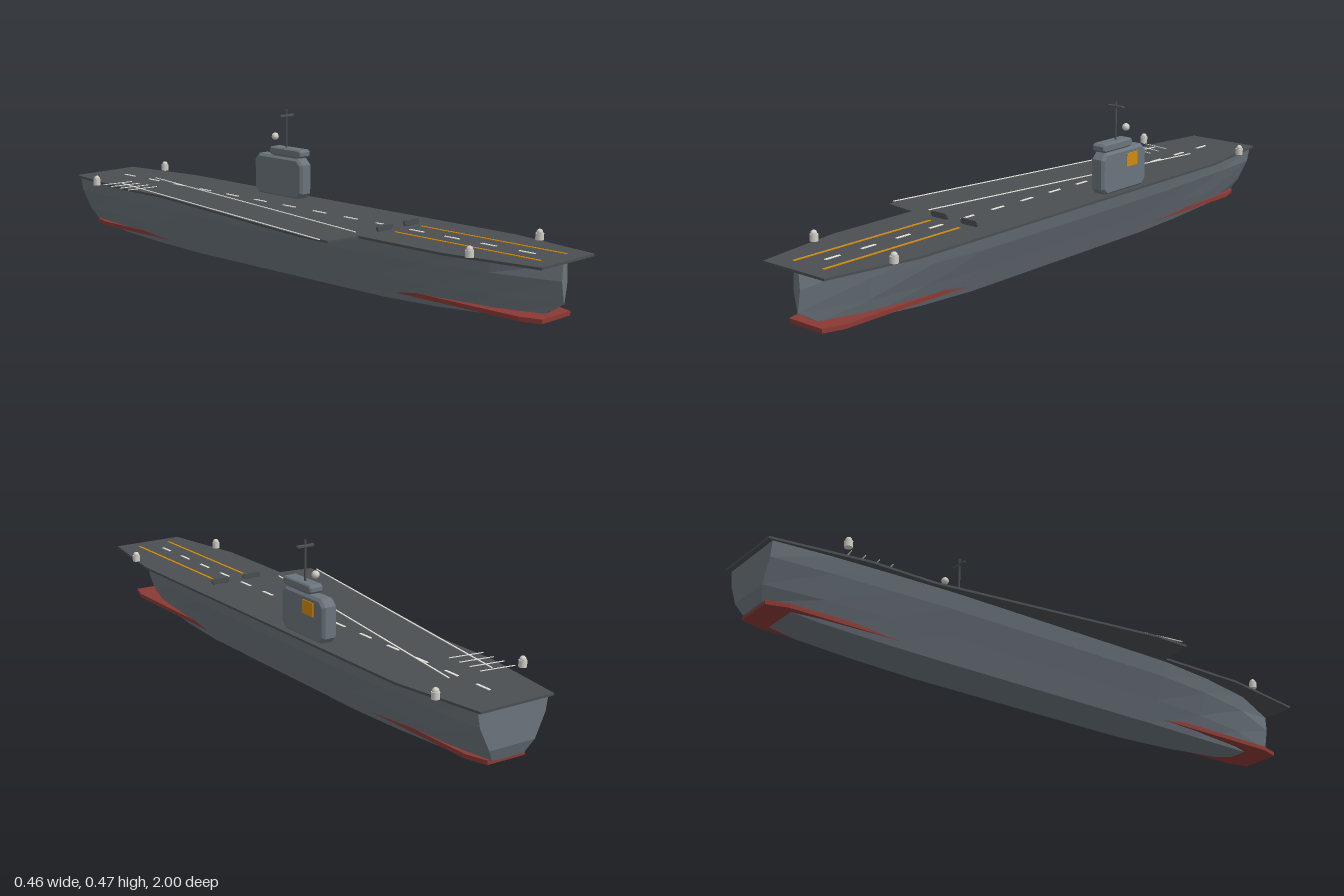
import * as THREE from 'three';

const mat = (name, color, side = THREE.FrontSide) => {
  const m = new THREE.MeshStandardMaterial({ color, side, flatShading: true });
  m.name = name;
  return m;
};

export function createModel() {
  const model = new THREE.Group();
  model.name = 'aircraftCarrier';
  const hullGrey = mat('hullGrey', 0x6b747c);
  const deckGrey = mat('deckGrey', 0x4b4f52);
  const red = mat('waterlineRed', 0x8b3a34);
  const white = mat('markingWhite', 0xe4e4dc);
  const orange = mat('markingOrange', 0xd08a10);
  const domeWhite = mat('domeWhite', 0xd2d0c8);
  domeWhite.flatShading = false;

  const CX = 0.06; // hull centreline
  const DECK = 0.193; // flight deck surface

  const add = (name, geo, material, x = 0, y = 0, z = 0) => {
    const mesh = new THREE.Mesh(geo, material);
    mesh.name = name;
    mesh.position.set(x, y, z);
    model.add(mesh);
    return mesh;
  };

  // Flat outline in x/z, extruded downward from y = 0
  const slab = (points, depth) => {
    const shape = new THREE.Shape(points.map(([x, z]) => new THREE.Vector2(x, z)));
    return new THREE.ExtrudeGeometry(shape, { depth, bevelEnabled: false }).rotateX(Math.PI / 2);
  };

  // Centred block with cut corners and bevelled faces, thickness along z
  const chamferBlock = (w, h, t, cut, bevel) => {
    const a = w / 2, b = h / 2;
    const shape = new THREE.Shape([
      [-a + cut, -b], [a - cut, -b], [a, -b + cut], [a, b - cut],
      [a - cut, b], [-a + cut, b], [-a, b - cut], [-a, -b + cut],
    ].map(([x, y]) => new THREE.Vector2(x, y)));
    return new THREE.ExtrudeGeometry(shape, {
      depth: t - 2 * bevel, bevelSize: bevel, bevelThickness: bevel, bevelOffset: -bevel, bevelSegments: 1,
    }).translate(0, 0, -t / 2 + bevel);
  };

  // Hull: each section lists [half width, y, z] from deck level to keel
  const section = (z, k, keel) => [
    [0.157 * k, 0.187, z], [0.143 * k, 0.14, z], [0.11 * k, 0.07, z], [0.078 * k, keel, z],
  ];
  const sections = [
    [[0.12, 0.187, -0.985], [0.112, 0.14, -0.985], [0.078, 0.07, -0.985], [0.055, 0.032, -0.97]],
    section(-0.8, 0.88, 0.012),
    section(-0.6, 0.95, 0.004),
    section(-0.4, 1, 0),
    section(0.4, 1, 0),
    section(0.6, 0.86, 0.004),
    section(0.8, 0.6, 0.013),
    [[0.01, 0.183, 0.99], [0.013, 0.135, 0.99], [0.001, 0.07, 0.99], [0.013, 0.033, 0.93]],
  ];
  const rings = sections.map((s) => [
    ...s.map(([w, y, z]) => [CX + w, y, z]),
    ...s.map(([w, y, z]) => [CX - w, y, z]).reverse(),
  ]);
  const pos = [];
  const quad = (a, b, c, d) => pos.push(...a, ...b, ...c, ...a, ...c, ...d);
  for (let i = 0; i < rings.length - 1; i++) {
    const r = rings[i], s = rings[i + 1];
    for (let j = 0; j < 8; j++) {
      const n = (j + 1) % 8;
      quad(r[j], s[j], s[n], r[n]);
    }
  }
  const stern = rings[0], bow = rings[rings.length - 1];
  for (let l = 0; l < 3; l++) {
    quad(bow[l], bow[7 - l], bow[6 - l], bow[l + 1]);
    quad(stern[7 - l], stern[l], stern[l + 1], stern[6 - l]);
  }
  const hullGeo = new THREE.BufferGeometry();
  hullGeo.setAttribute('position', new THREE.Float32BufferAttribute(pos, 3));
  hullGeo.computeVertexNormals();
  add('hull', hullGeo, hullGrey);

  // Waterline plate, emerging where the hull narrows
  add('waterlinePlate', slab([
    [-0.065, -0.965], [0.065, -0.965], [0.085, -0.9], [0.085, 0.9],
    [0.065, 0.965], [-0.065, 0.965], [-0.085, 0.9], [-0.085, -0.9],
  ], 0.013), red, CX + 0.001, 0.035, 0);

  // Flight deck with the angled landing overhang
  add('flightDeck', slab([
    [-0.065, -1], [0.185, -1], [0.23, -0.7], [0.23, 0.7], [0.18, 1], [-0.06, 1],
    [-0.11, 0.7], [-0.11, 0.39], [-0.222, 0.375], [-0.222, 0.26], [-0.11, -0.49], [-0.11, -0.7],
  ], 0.007), deckGrey, 0, DECK, 0);

  // Deck markings: thin strips between two points
  const stripe = (name, material, x0, z0, x1, z1, width) => {
    const length = Math.hypot(x1 - x0, z1 - z0);
    const m = add(name, new THREE.BoxGeometry(width, 0.002, length), material,
      (x0 + x1) / 2, DECK + 0.001, (z0 + z1) / 2);
    m.rotation.y = Math.atan2(x1 - x0, z1 - z0);
  };
  for (let i = 0; i < 14; i++) {
    const z = -0.862 + i * 0.1326;
    stripe('centreDash', white, CX, z - 0.027, CX, z + 0.027, 0.008);
  }
  for (const x of [-0.06, 0.09]) stripe('landingLine', white, x, -0.755, x - 0.17, 0.35, 0.005);
  for (let i = 0; i < 4; i++) {
    const z = -0.777 + i * 0.045;
    stripe('arrestingWire', white, -0.125, z, -0.015, z + 0.017, 0.003);
  }
  for (const x of [0.003, 0.12]) stripe('catapultTrack', orange, x, 0.43, x, 0.95, 0.008);

  // Blast deflectors behind the catapults
  for (const x of [0.003, 0.121])
    add('blastDeflector', chamferBlock(0.066, 0.018, 0.008, 0.005, 0.001), deckGrey, x, 0.202, 0.389);

  // Island, bridge and painted panel
  const IX = 0.187;
  add('island', chamferBlock(0.22, 0.134, 0.05, 0.02, 0.008).rotateY(Math.PI / 2), hullGrey, IX, 0.257, -0.225);
  add('bridgeNeck', new THREE.BoxGeometry(0.036, 0.014, 0.11), hullGrey, IX, 0.326, -0.195);
  add('bridge', chamferBlock(0.146, 0.026, 0.046, 0.007, 0.004).rotateY(Math.PI / 2), hullGrey, IX, 0.339, -0.193);
  add('islandPanel', new THREE.BoxGeometry(0.004, 0.042, 0.054), orange, IX + 0.026, 0.286, -0.259);

  // Mast, yard and radar dome
  add('mast', new THREE.CylinderGeometry(0.0035, 0.0035, 0.125, 8), deckGrey, IX, 0.4125, -0.207);
  add('mastYard', chamferBlock(0.06, 0.008, 0.01, 0.003, 0.001), deckGrey, IX, 0.456, -0.207);
  add('radarDome', new THREE.SphereGeometry(0.012, 12, 8), domeWhite, IX, 0.383, -0.26);

  // Defence turrets at the deck edges
  for (const [x, z] of [[-0.137, -0.795], [-0.097, 0.787], [0.219, 0.787], [0.219, -0.86]]) {
    add('turretBase', new THREE.CylinderGeometry(0.0125, 0.0125, 0.02, 10), domeWhite, x, 0.203, z);
    add('turretDome', new THREE.SphereGeometry(0.01, 10, 8), domeWhite, x, 0.215, z);
  }
  return model;
}
